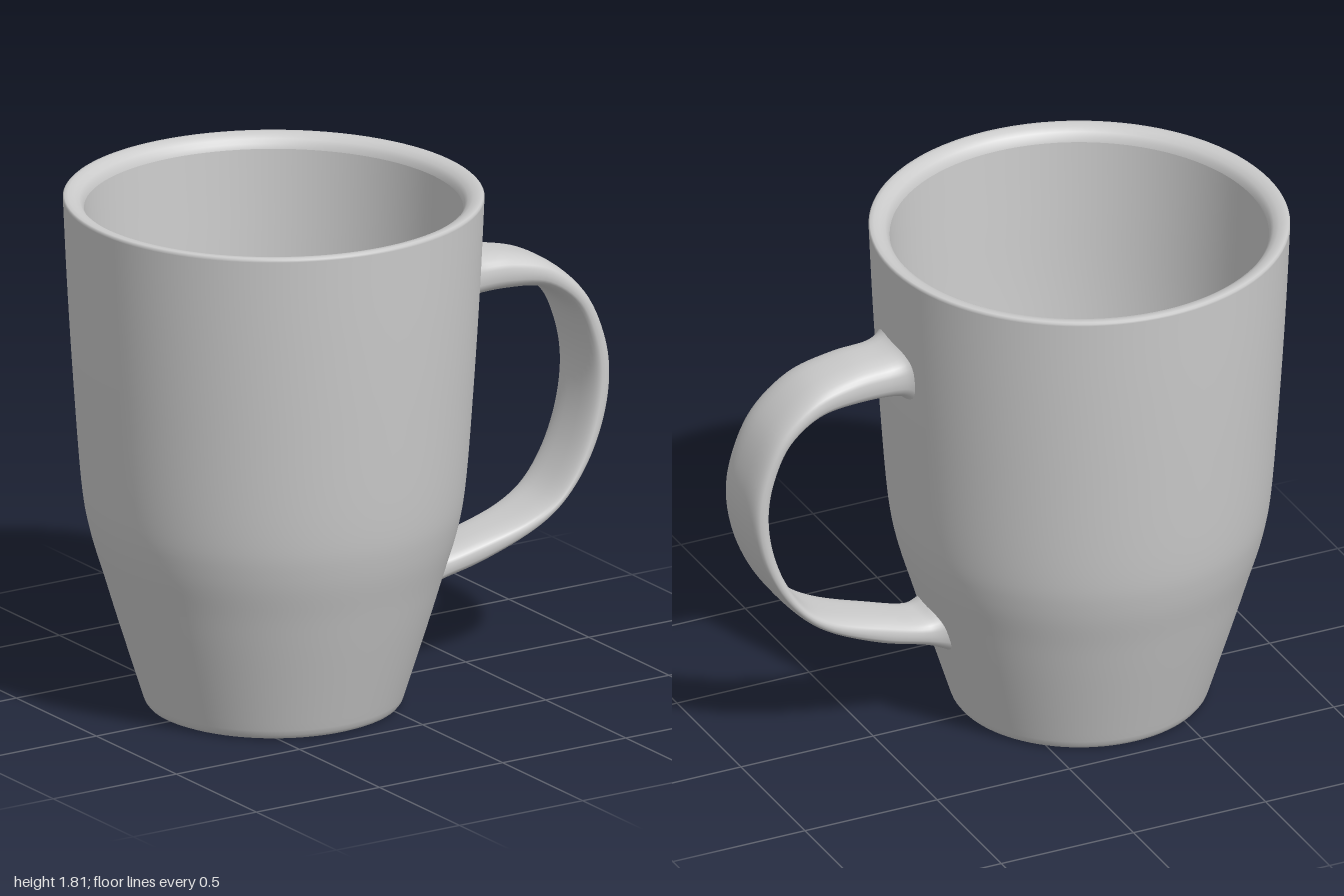
import * as THREE from 'three';

const material = new THREE.MeshStandardMaterial({ color: 0xcccccc });
const AXIS_X = -0.28; // centre line of the cup

function addMesh(group, name, geometry) {
  const mesh = new THREE.Mesh(geometry, material);
  mesh.name = name;
  group.add(mesh);
  return mesh;
}

function lathe(points) {
  return new THREE.LatheGeometry(points.map(([r, y]) => new THREE.Vector2(r, y)), 96);
}

// Smooth profile through a few [radius, height] points
function smooth(points, count) {
  const curve = new THREE.SplineCurve(points.map(([r, y]) => new THREE.Vector2(r, y)));
  return curve.getPoints(count).map((p) => [p.x, p.y]);
}

// Strap lofted between an outer and an inner edge curve with rounded sections.
// Each station: outer x, outer y, inner x, inner y, back z, front z
function strap(stations, steps, sides) {
  const outer = new THREE.CatmullRomCurve3(stations.map((s) => new THREE.Vector3(s[0], s[1], s[5])));
  const inner = new THREE.CatmullRomCurve3(stations.map((s) => new THREE.Vector3(s[2], s[3], s[4])));
  const positions = [], index = [];
  const soften = (v) => Math.sign(v) * Math.abs(v) ** 0.72;
  for (let i = 0; i <= steps; i++) {
    const o = outer.getPoint(i / steps), n = inner.getPoint(i / steps);
    for (let j = 0; j < sides; j++) {
      const a = (j / sides) * Math.PI * 2;
      const u = (1 + soften(Math.cos(a))) / 2, w = (1 + soften(Math.sin(a))) / 2;
      positions.push(
        THREE.MathUtils.lerp(n.x, o.x, u),
        THREE.MathUtils.lerp(n.y, o.y, u),
        THREE.MathUtils.lerp(n.z, o.z, w));
      if (i < steps) {
        const k = (j + 1) % sides, p = i * sides, q = p + sides;
        index.push(p + j, p + k, q + j, p + k, q + k, q + j);
      }
    }
  }
  const geometry = new THREE.BufferGeometry();
  geometry.setAttribute('position', new THREE.Float32BufferAttribute(positions, 3));
  geometry.setIndex(index);
  geometry.computeVertexNormals();
  return geometry;
}

export function createModel() {
  const model = new THREE.Group();
  model.name = 'mug';
  const cup = new THREE.Group();
  cup.name = 'cup';
  cup.position.x = AXIS_X;
  model.add(cup);

  // Outer wall with a rounded foot
  addMesh(cup, 'outerWall', lathe([
    [0.418, 0], [0.432, 0.006], [0.441, 0.018],
    ...smooth([[0.447, 0.035], [0.53, 0.3], [0.578, 0.46], [0.628, 0.63], [0.656, 0.8],
      [0.684, 1.17], [0.704, 1.5], [0.718, 1.8]], 42),
  ]));

  // Rim rolling over into the mouth
  addMesh(cup, 'rim', lathe([
    [0.718, 1.8], [0.718, 1.807], [0.713, 1.812], [0.7, 1.813], [0.68, 1.808],
    [0.662, 1.797], [0.651, 1.782], [0.646, 1.765],
  ]));

  // Inside wall curving down to the floor
  addMesh(cup, 'innerWall', lathe(smooth([
    [0.646, 1.765], [0.634, 1.5], [0.618, 1.17], [0.59, 0.8], [0.562, 0.63],
    [0.505, 0.44], [0.445, 0.25], [0.405, 0.15], [0.315, 0.1],
  ], 48)));

  // Flat discs inside and underneath
  addMesh(cup, 'floor', lathe([[0.315, 0.1], [0, 0.1]]));
  addMesh(cup, 'base', lathe([[0, 0], [0.418, 0]]));

  // Flat loop handle, flaring where it meets the wall
  addMesh(model, 'handle', strap([
    [0.39, 1.55, 0.38, 1.27, -0.15, 0.18],
    [0.425, 1.507, 0.42, 1.325, -0.123, 0.157],
    [0.47, 1.489, 0.46, 1.337, -0.113, 0.146],
    [0.6, 1.476, 0.6, 1.342, -0.11, 0.148],
    [0.76, 1.425, 0.74, 1.325, -0.107, 0.157],
    [0.9, 1.3, 0.845, 1.25, -0.103, 0.163],
    [0.976, 1.14, 0.9, 1.13, -0.1, 0.165],
    [0.998, 1.0, 0.921, 1.0, -0.097, 0.167],
    [0.972, 0.84, 0.903, 0.85, -0.092, 0.169],
    [0.9, 0.68, 0.848, 0.7, -0.088, 0.17],
    [0.8, 0.555, 0.77, 0.59, -0.086, 0.168],
    [0.7, 0.475, 0.67, 0.53, -0.086, 0.158],
    [0.5, 0.383, 0.48, 0.475, -0.088, 0.135],
    [0.33, 0.336, 0.335, 0.442, -0.092, 0.12],
    [0.27, 0.31, 0.295, 0.455, -0.1, 0.127],
    [0.225, 0.285, 0.265, 0.475, -0.112, 0.138],
  ], 90, 32));

  return model;
}
